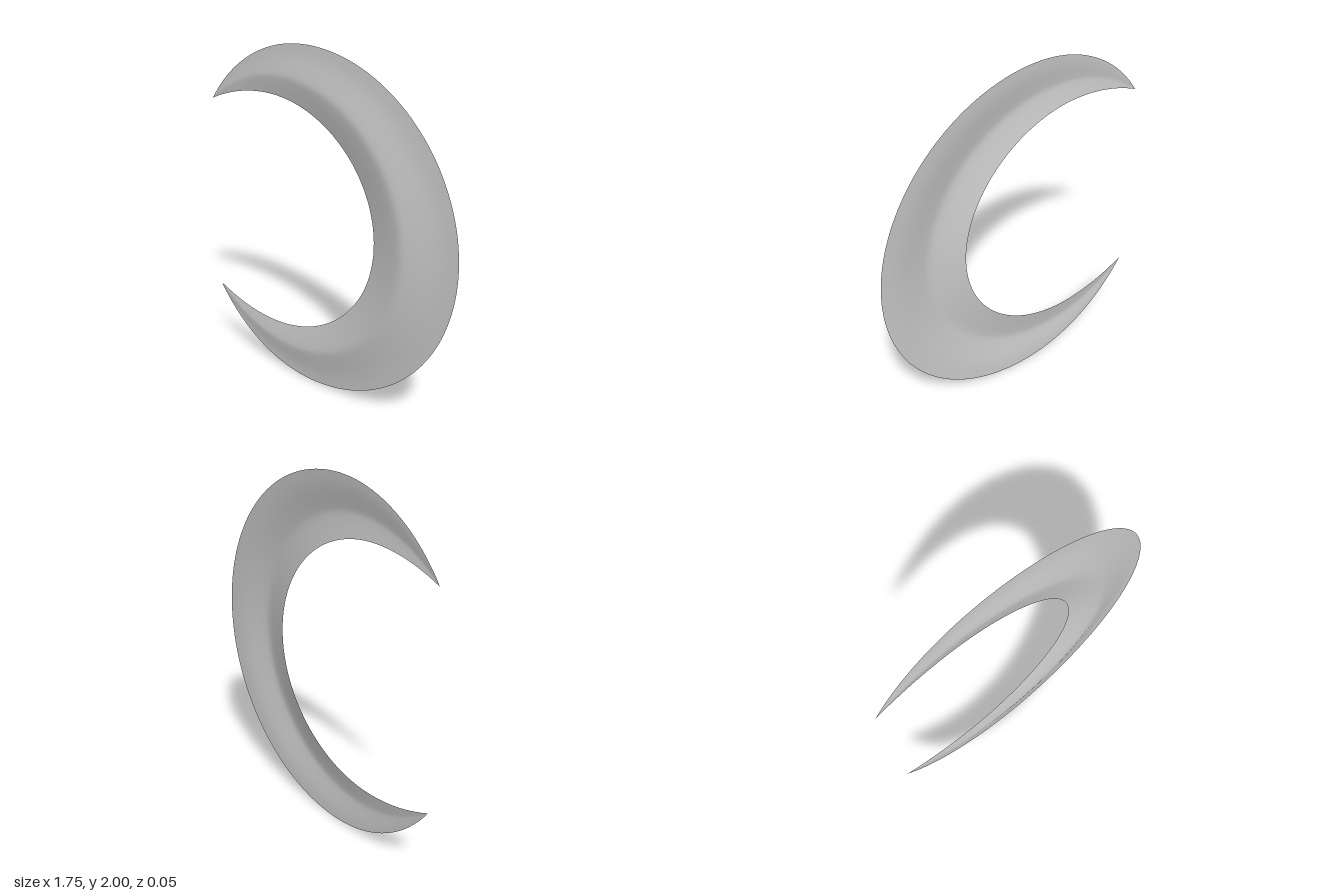
import * as THREE from 'three';

const TIP_X = -0.872, TIP_Y = 0.598; // horn tips, relative to the centre line y = 1
const BACK = -0.023, DEPTH = 0.046;

// Outer rim: round on the right, slightly squeezed towards the horns
function outer(s) {
  const a = s * (Math.PI - Math.asin(TIP_Y));
  const c = Math.cos(a);
  const squeeze = (TIP_X + 0.125) / -Math.sqrt(1 - TIP_Y * TIP_Y);
  return [-0.125 + c * (c < 0 ? squeeze : 1), Math.sin(a)];
}

// Inner rim: half ellipse that runs into gently drooping horns
function inner(s) {
  const u = Math.abs(s), k = 0.71, sign = Math.sign(s);
  if (u < k) {
    const a = (u / k) * Math.PI / 2;
    return [-0.415 + 0.76 * Math.cos(a), sign * 0.7 * Math.sin(a)];
  }
  const v = (u - k) / (1 - k);
  return [-0.415 + (TIP_X + 0.415) * v, sign * (0.7 + (TIP_Y - 0.7) * v * v)];
}

// Cross-section from inner to outer rim: [position, relative height]
const section = [[0, 0], [0.1, 0.3], [0.2, 0.59], [0.3, 0.86], [0.36, 0.97], [0.4, 1],
  [0.45, 0.95], [0.55, 0.73], [0.66, 0.47], [0.77, 0.23], [0.88, 0.08], [1, 0]];

export function createModel() {
  const steps = 128, n = section.length;
  const positions = [], index = [];
  for (let j = 0; j <= steps; j++) {
    const s = (j / steps) * 2 - 1;
    const [ix, iy] = inner(s), [ox, oy] = outer(s);
    // the ridge falls evenly from the belly to the horn tips
    const ridgeX = ix + (ox - ix) * 0.4;
    const height = DEPTH * Math.max(0, (ridgeX - TIP_X) / (0.555 - TIP_X));
    for (const [t, h] of section) {
      positions.push(ix + (ox - ix) * t, 1 + iy + (oy - iy) * t, BACK + height * h);
    }
  }
  for (let j = 0; j < steps; j++) {
    for (let i = 0; i < n - 1; i++) {
      const a = j * n + i, b = a + 1, c = a + n, d = c + 1;
      if (j > 0) index.push(a, b, c); // rows collapse to a point at the tips
      if (j < steps - 1) index.push(b, d, c);
      else index.push(a, b, c);
      if (j === 0) index.push(b, d, c);
    }
  }
  const geometry = new THREE.BufferGeometry();
  geometry.setAttribute('position', new THREE.Float32BufferAttribute(positions, 3));
  geometry.setIndex(index);
  geometry.computeVertexNormals();

  // Thin crescent shell, open at the back
  const crescent = new THREE.Mesh(geometry,
    new THREE.MeshStandardMaterial({ color: 0xcccccc, side: THREE.DoubleSide }));
  crescent.name = 'crescentShell';
  const group = new THREE.Group();
  group.name = 'crescent';
  group.add(crescent);
  return group;
}
